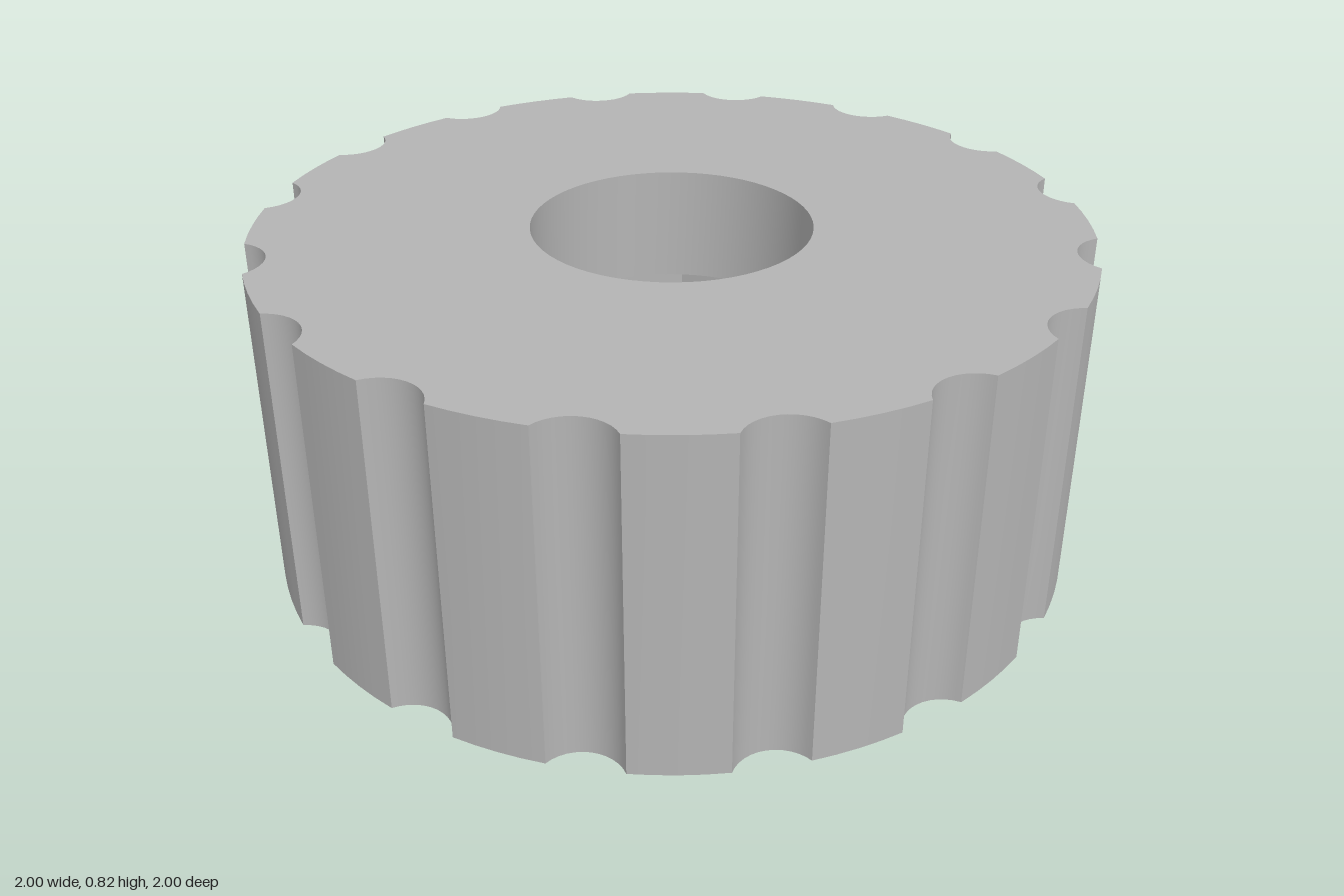
import * as THREE from 'three';
import { toCreasedNormals } from 'three/addons/utils/BufferGeometryUtils.js';

const HEIGHT = 0.82, POCKET = 0.53;
const OUTER = 1.004, BORE = 0.34, HEX = 0.603;
const FLUTES = 16, FLUTE_CENTRE = 1.05, FLUTE_R = 0.1;

// Regular polygon, counter-clockwise, first corner on +x
function ring(radius, sides) {
  return Array.from({ length: sides }, (_, i) => {
    const a = (i / sides) * Math.PI * 2;
    return new THREE.Vector2(radius * Math.cos(a), radius * Math.sin(a));
  });
}

// Round outline with concave grip flutes
function flutedOutline() {
  const pts = [];
  const step = (Math.PI * 2) / FLUTES;
  const half = Math.acos(
    (FLUTE_CENTRE ** 2 + FLUTE_R ** 2 - OUTER ** 2) / (2 * FLUTE_CENTRE * FLUTE_R));
  const edge = Math.asin((FLUTE_R * Math.sin(half)) / OUTER);
  const origin = new THREE.Vector2();
  for (let k = 0; k < FLUTES; k++) {
    const a = k * step;
    for (let i = 0; i <= 12; i++) {
      const t = half * (i / 6 - 1);
      pts.push(new THREE.Vector2(
        FLUTE_CENTRE - FLUTE_R * Math.cos(t), FLUTE_R * Math.sin(t)).rotateAround(origin, a));
    }
    for (let i = 1; i < 4; i++) {
      const b = a + edge + (step - 2 * edge) * (i / 4);
      pts.push(new THREE.Vector2(OUTER * Math.cos(b), OUTER * Math.sin(b)));
    }
  }
  return pts;
}

// Upright wall along a closed outline; reversed outlines face inward
function wall(points, y0, y1) {
  const pos = [], index = [], n = points.length;
  points.forEach((p, i) => {
    pos.push(p.x, y0, -p.y, p.x, y1, -p.y);
    const a = 2 * i, b = 2 * ((i + 1) % n);
    index.push(a, b, b + 1, a, b + 1, a + 1);
  });
  const geo = new THREE.BufferGeometry();
  geo.setAttribute('position', new THREE.Float32BufferAttribute(pos, 3));
  geo.setIndex(index);
  return toCreasedNormals(geo, Math.PI / 6);
}

// Flat face between an outline and a hole, facing up or down
function face(outline, hole, y, up) {
  const shape = new THREE.Shape(outline);
  shape.holes.push(new THREE.Path(hole));
  const geo = new THREE.ShapeGeometry(shape);
  geo.rotateX(up ? -Math.PI / 2 : Math.PI / 2);
  return geo.translate(0, y, 0);
}

export function createModel() {
  const group = new THREE.Group();
  group.name = 'flutedKnob';
  const grey = new THREE.MeshStandardMaterial({ color: 0xb4b4b4 });
  grey.name = 'plain grey';

  const rim = flutedOutline();
  const bore = ring(BORE, 64);
  const hex = ring(HEX, 6);

  const add = (name, geo) => {
    const mesh = new THREE.Mesh(geo, grey);
    mesh.name = name;
    group.add(mesh);
  };

  // Outside
  add('flutedRim', wall(rim, 0, HEIGHT));
  add('topFace', face(rim, bore, HEIGHT, true));
  add('bottomFace', face(rim, hex, 0, false));

  // Round bore above a hexagonal nut pocket
  add('boreWall', wall([...bore].reverse(), POCKET, HEIGHT));
  add('pocketWall', wall([...hex].reverse(), 0, POCKET));
  add('pocketCeiling', face(hex, bore, POCKET, false));

  return group;
}
